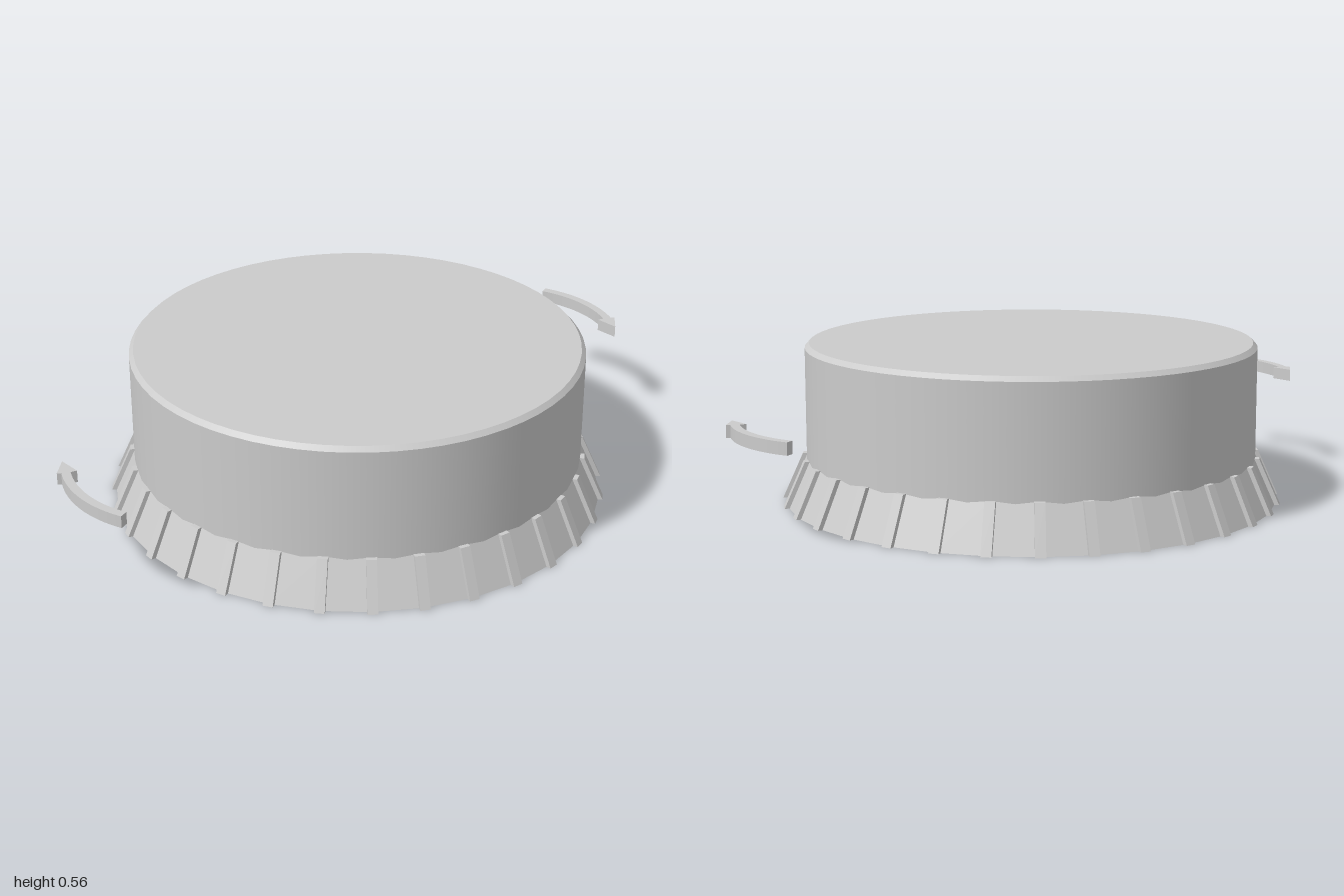
import * as THREE from 'three';

const material = new THREE.MeshStandardMaterial({ color: 0xcccccc });
const facetedMaterial = new THREE.MeshStandardMaterial({ color: 0xcccccc, flatShading: true });

const BODY_RADIUS = 0.785;
const SKIRT_RADIUS = 0.857;
const SKIRT_HEIGHT = 0.16;
const RIBS = 32;

function addMesh(parent, name, geometry, mat = material) {
  const mesh = new THREE.Mesh(geometry, mat);
  mesh.name = name;
  parent.add(mesh);
  return mesh;
}

// Sloped rib: side profile in x/y, extruded to the rib's width
function ribGeometry(width) {
  const profile = new THREE.Shape([
    new THREE.Vector2(0.76, 0),
    new THREE.Vector2(0.872, 0),
    new THREE.Vector2(0.8, SKIRT_HEIGHT),
    new THREE.Vector2(0.76, SKIRT_HEIGHT),
  ]);
  return new THREE.ExtrudeGeometry(profile, { depth: width, bevelEnabled: false })
    .translate(0, 0, -width / 2);
}

// Curved arrow drawn in plan (shape y = -z), then laid flat
function arrowGeometry() {
  const cx = 0.567, cy = 0.46, tail = 1.05, neck = 0.2;
  const shape = new THREE.Shape();
  shape.absarc(cx, cy, 0.427, tail, neck, true);
  shape.lineTo(1.0, 0.545);
  shape.lineTo(0.989, 0.465);
  shape.lineTo(0.936, 0.53);
  shape.absarc(cx, cy, 0.397, neck, tail, false);
  shape.closePath();
  return new THREE.ExtrudeGeometry(shape, { depth: 0.042, bevelEnabled: false, curveSegments: 16 })
    .rotateX(-Math.PI / 2)
    .translate(0, 0.322, 0);
}

export function createModel() {
  const model = new THREE.Group();
  model.name = 'screwCap';

  // Round body with a small chamfer and flat top
  addMesh(model, 'bodyWall', new THREE.CylinderGeometry(BODY_RADIUS, BODY_RADIUS, 0.4, 64, 1, true))
    .position.y = 0.34;
  addMesh(model, 'topChamfer', new THREE.CylinderGeometry(0.77, BODY_RADIUS, 0.016, 64, 1, true))
    .position.y = 0.548;
  addMesh(model, 'topFace', new THREE.CircleGeometry(0.77, 64).rotateX(-Math.PI / 2))
    .position.y = 0.556;

  // Flared skirt, one flat panel between each pair of ribs
  addMesh(model, 'skirt',
    new THREE.CylinderGeometry(BODY_RADIUS, SKIRT_RADIUS, SKIRT_HEIGHT, RIBS), facetedMaterial)
    .position.y = SKIRT_HEIGHT / 2;

  // Grip ribs around the skirt
  const ribs = new THREE.Group();
  ribs.name = 'gripRibs';
  const rib = ribGeometry(0.035);
  for (let i = 0; i < RIBS; i++) {
    addMesh(ribs, 'gripRib', rib).rotation.y = (i / RIBS) * Math.PI * 2;
  }
  model.add(ribs);

  // Pair of turning arrows, opposite each other
  const arrow = arrowGeometry();
  addMesh(model, 'leftArrow', arrow);
  addMesh(model, 'rightArrow', arrow).rotation.y = Math.PI;

  return model;
}
